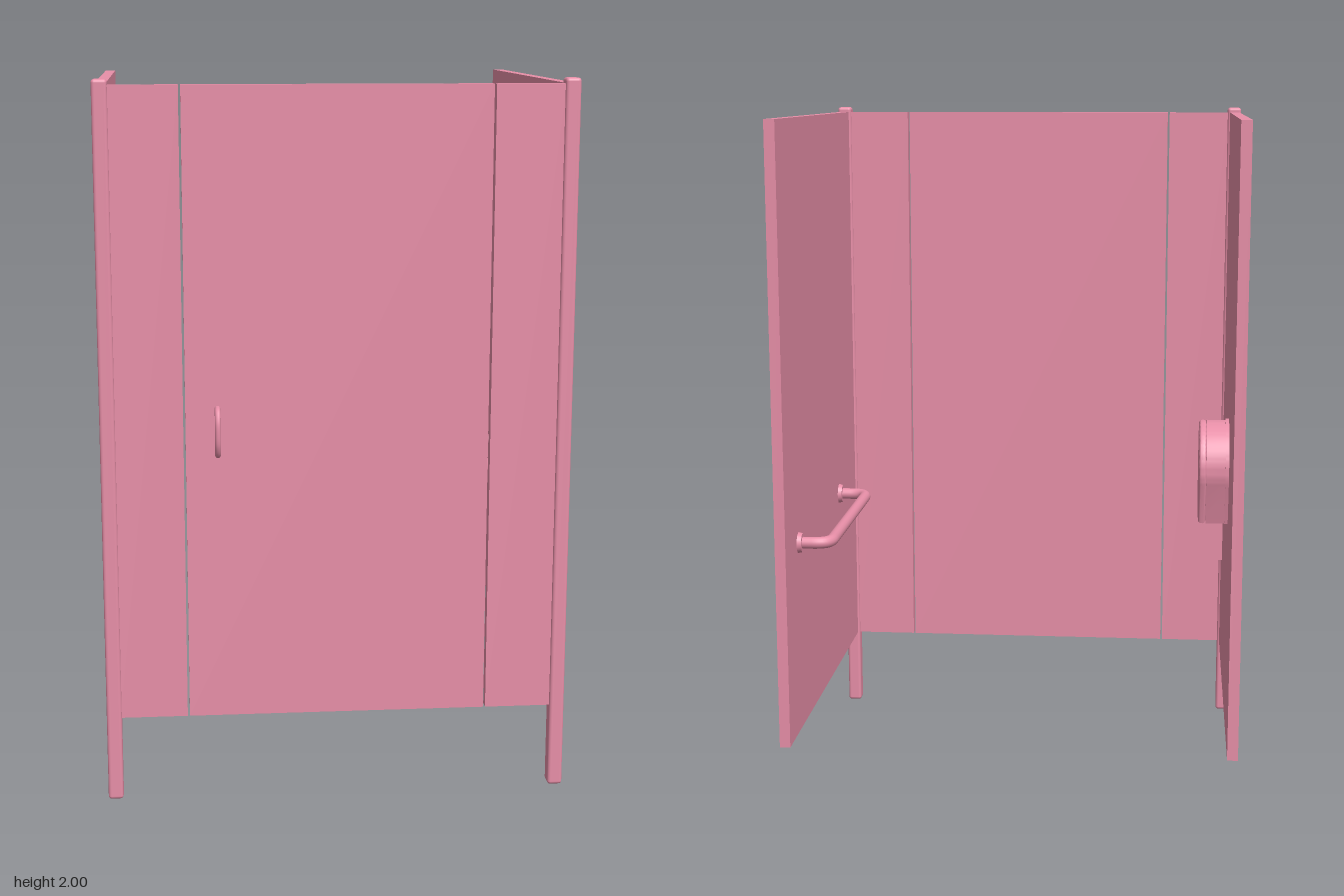
import * as THREE from 'three';
import { RoundedBoxGeometry } from 'three/addons/geometries/RoundedBoxGeometry.js';
import { toCreasedNormals } from 'three/addons/utils/BufferGeometryUtils.js';

export function createModel() {
  const root = new THREE.Group();
  const material = new THREE.MeshStandardMaterial({ color: 0xe88fa8 });
  const sheetMaterial = new THREE.MeshStandardMaterial({ color: 0xe88fa8, side: THREE.DoubleSide });

  function add(name, geometry, x = 0, y = 0, z = 0, parent = root, mat = material) {
    const mesh = new THREE.Mesh(geometry, mat);
    mesh.name = name;
    mesh.position.set(x, y, z);
    parent.add(mesh);
    return mesh;
  }

  // Panels hang clear of the floor
  const bottom = 0.24, top = 1.985;
  const height = top - bottom, midY = (top + bottom) / 2;
  const thick = 0.03, frontZ = 0.54;
  add('door', new THREE.BoxGeometry(0.83, height, thick), 0, midY, frontZ);
  for (const [side, s] of [['left', 1], ['right', -1]]) {
    add(side + 'Post', new RoundedBoxGeometry(0.042, 2, 0.047, 3, 0.009), s * 0.626, 1, 0.54);
    add(side + 'FrontPanel', new THREE.BoxGeometry(0.187, height, thick), s * 0.5145, midY, frontZ);
    add(side + 'Wall', new THREE.BoxGeometry(thick, height, 1.125), s * 0.627, midY, -0.0375);
  }

  // Bowed pull on the door
  const pull = new THREE.CatmullRomCurve3([
    [0.99, 0.553], [0.995, 0.572], [1.02, 0.587], [1.055, 0.591],
    [1.09, 0.587], [1.115, 0.572], [1.12, 0.553],
  ].map(([y, z]) => new THREE.Vector3(-0.328, y, z)));
  add('doorPull', new THREE.TubeGeometry(pull, 40, 0.008, 10));

  // Grab bar on the left wall, with rounded bends
  const bar = new THREE.Group();
  bar.name = 'grabBar';
  bar.position.y = 0.79;
  root.add(bar);
  const wallX = 0.612, barX = 0.522, z0 = -0.42, z1 = 0.225, bend = 0.05;
  const v = (x, z) => new THREE.Vector3(x, 0, z);
  const path = new THREE.CurvePath();
  path.add(new THREE.LineCurve3(v(wallX, z0), v(barX + bend, z0)));
  path.add(new THREE.QuadraticBezierCurve3(v(barX + bend, z0), v(barX, z0), v(barX, z0 + bend)));
  path.add(new THREE.LineCurve3(v(barX, z0 + bend), v(barX, z1 - bend)));
  path.add(new THREE.QuadraticBezierCurve3(v(barX, z1 - bend), v(barX, z1), v(barX + bend, z1)));
  path.add(new THREE.LineCurve3(v(barX + bend, z1), v(wallX, z1)));
  add('rail', new THREE.TubeGeometry(path, 120, 0.017, 16), 0, 0, 0, bar);
  for (const z of [z0, z1]) {
    const flange = add('flange', new THREE.CylinderGeometry(0.027, 0.03, 0.012, 24), 0.606, 0, z, bar);
    flange.rotation.z = Math.PI / 2;
  }

  // Paper dispenser on the right wall; outlines lie in (z, y), extruded along x
  const dispenser = new THREE.Group();
  dispenser.name = 'paperDispenser';
  dispenser.position.set(-0.612, 0.97, -0.08);
  root.add(dispenser);
  const a0 = -0.35, a1 = Math.PI + 0.35, base = -0.16, foot = 0.092;

  function coverOutline(r) {
    const shape = new THREE.Shape();
    shape.moveTo(-foot * r / 0.13, base);
    shape.lineTo(foot * r / 0.13, base);
    shape.absarc(0, 0, r, a0, a1, false);
    shape.closePath();
    return shape;
  }
  function alongX(shape, depth, bevel = 0) {
    const g = new THREE.ExtrudeGeometry(shape, {
      depth, curveSegments: 32, bevelEnabled: bevel > 0,
      bevelSize: bevel, bevelThickness: bevel, bevelOffset: -bevel, bevelSegments: 4,
    });
    g.rotateY(Math.PI / 2);
    return toCreasedNormals(g, 0.6);
  }

  add('backPlate', alongX(coverOutline(0.134), 0.01), 0, 0, 0, dispenser);
  // Shell is open underneath
  const shell = new THREE.Shape();
  const inner = 0.12, innerFoot = foot * inner / 0.13;
  shell.moveTo(innerFoot, base);
  shell.lineTo(foot, base);
  shell.absarc(0, 0, 0.13, a0, a1, false);
  shell.lineTo(-foot, base);
  shell.lineTo(-innerFoot, base);
  shell.absarc(0, 0, inner, a1, a0, true);
  shell.closePath();
  add('shell', alongX(shell, 0.055), 0.01, 0, 0, dispenser);
  add('cover', alongX(coverOutline(0.13), 0.004, 0.009), 0.074, 0, 0, dispenser);

  // Roll inside, with its loose end hanging out
  const roll = add('paperRoll', new THREE.CylinderGeometry(0.095, 0.095, 0.05, 32), 0.037, 0, 0, dispenser);
  roll.rotation.z = Math.PI / 2;
  add('paperSheet', new THREE.PlaneGeometry(0.055, 0.23), 0.038, -0.195, 0.06, dispenser, sheetMaterial);

  return root;
}
